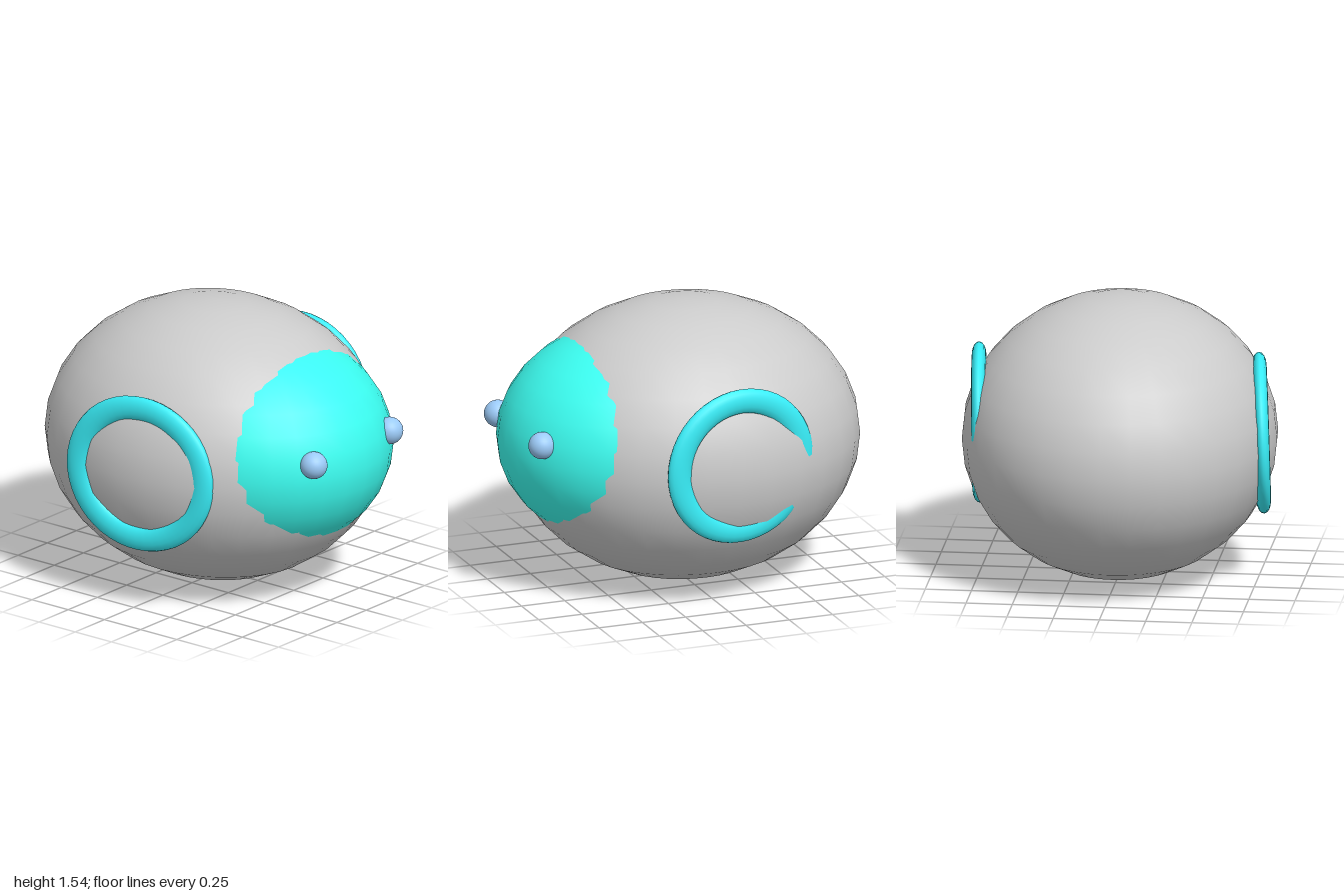
import * as THREE from 'three';

const GREY = 0xcccccc, CAP = 0x3cfff2, RING = 0x38eef8, EYE = 0x9ccbf8;

function addMesh(group, name, geometry, color, position) {
  const mesh = new THREE.Mesh(geometry, new THREE.MeshStandardMaterial({ color }));
  mesh.name = name;
  mesh.position.set(...position);
  group.add(mesh);
  return mesh;
}

export function createModel() {
  const model = new THREE.Group();
  model.name = 'roundCreature';

  // Egg-shaped body
  addMesh(model, 'body', new THREE.SphereGeometry(1, 32, 16), GREY, [-0.04, 0.77, 0])
    .scale.set(0.96, 0.77, 0.85);

  // Face: a smaller ellipsoid bulging out of the +x end
  addMesh(model, 'face', new THREE.SphereGeometry(1, 32, 16), CAP, [0.2, 0.812, 0])
    .scale.set(0.8, 0.62, 0.721);

  // Eyes half sunk into the face
  const eye = new THREE.SphereGeometry(0.074, 32, 16);
  addMesh(model, 'frontEye', eye, EYE, [0.907, 0.9, 0.333]);
  addMesh(model, 'backEye', eye, EYE, [0.907, 0.917, -0.315]);

  // Flattened rings, tilted and partly sunk into the flanks
  const ring = new THREE.TorusGeometry(0.365, 0.068, 16, 48);
  const frontRing = addMesh(model, 'frontRing', ring, RING, [0.05, 0.777, 0.755]);
  frontRing.scale.set(1.06, 1, 0.57);
  frontRing.rotation.set(-0.03, 0.13, 0);

  const backRing = addMesh(model, 'backRing', ring, RING, [-0.065, 0.82, -0.757]);
  backRing.scale.set(1.01, 1, 0.57);
  backRing.rotation.set(-0.01, 0.1, 0);

  return model;
}
